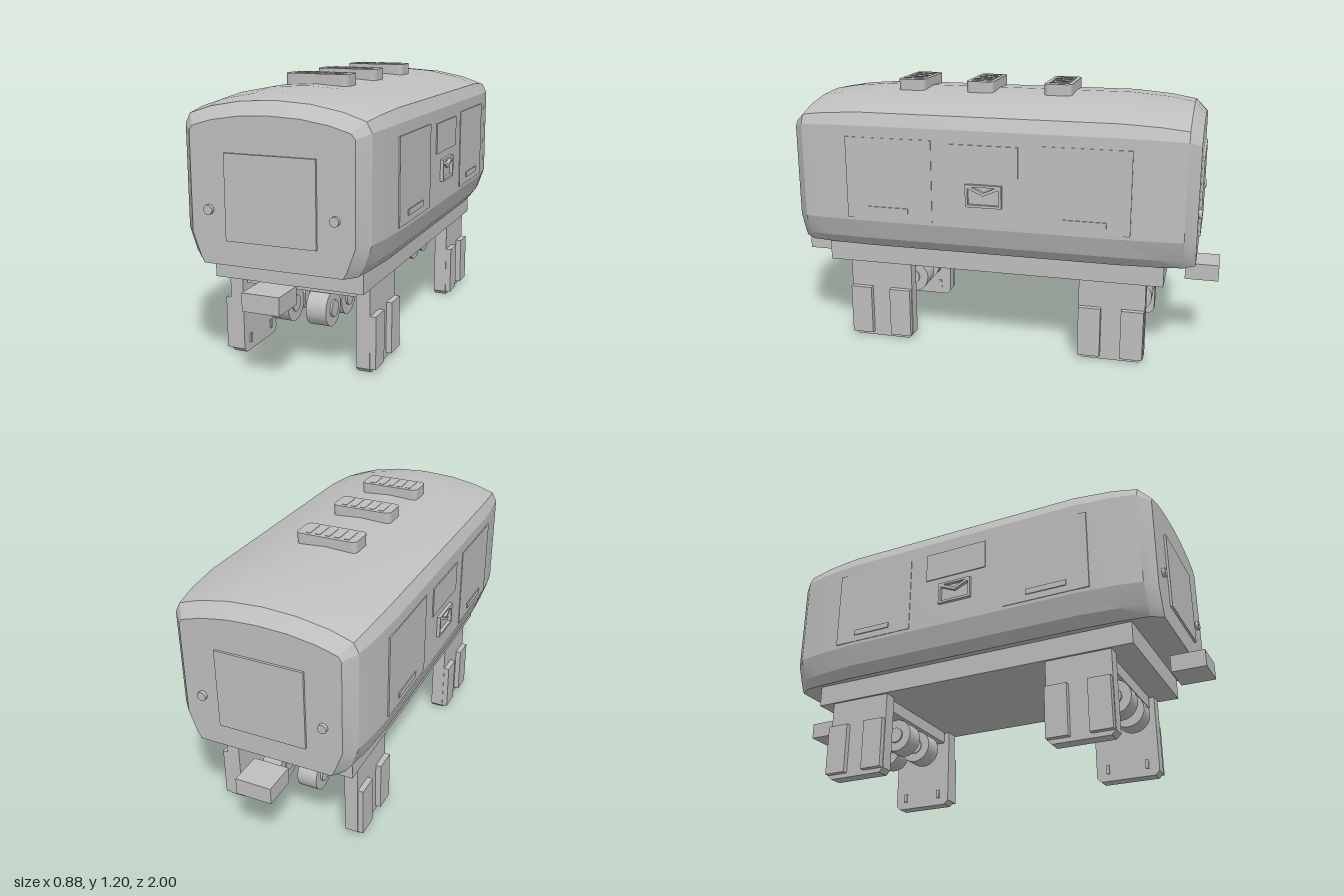
import * as THREE from 'three';
import { toCreasedNormals } from 'three/addons/utils/BufferGeometryUtils.js';

const grey = new THREE.MeshStandardMaterial({ color: 0xbfbfbf });
grey.name = 'light grey';

export function createModel() {
  const model = new THREE.Group();
  model.name = 'railCarPod';

  const add = (name, geo, x = 0, y = 0, z = 0, parent = model) => {
    const m = new THREE.Mesh(geo, grey);
    m.name = name;
    m.position.set(x, y, z);
    parent.add(m);
    return m;
  };
  // box given by its limits
  const box = (name, x0, x1, y0, y1, z0, z1, parent = model) =>
    add(name, new THREE.BoxGeometry(Math.abs(x1 - x0), y1 - y0, Math.abs(z1 - z0)),
      (x0 + x1) / 2, (y0 + y1) / 2, (z0 + z1) / 2, parent);
  const extrude = (shape, depth) =>
    new THREE.ExtrudeGeometry(shape, { depth, bevelEnabled: false, curveSegments: 4 });
  const polygon = (pts, Type = THREE.Shape) => new Type(pts.map((p) => new THREE.Vector2(...p)));

  // Body shell: cross-section shrinking towards both ends
  const full = [[0.36, 0.465], [0.395, 0.51], [0.425, 0.6], [0.425, 1.03], [0.4, 1.085], [0.3, 1.12], [0.16, 1.147], [0, 1.157]];
  const end = [[0.3, 0.468], [0.315, 0.495], [0.35, 0.59], [0.35, 1.0], [0.335, 1.02], [0.25, 1.045], [0.13, 1.064], [0, 1.07]];
  const stations = [[0.9, 0], [0.85, 0.62], [0.74, 0.84], [0.57, 1], [-0.57, 1], [-0.74, 0.84], [-0.85, 0.62], [-0.9, 0]];
  const pos = [], idx = [];
  const n = full.length * 2 - 1;
  for (const [z, t] of stations) {
    const half = full.map((f, i) => [0, 1].map((k) => end[i][k] + (f[k] - end[i][k]) * t));
    const ring = [...half, ...half.slice(0, -1).reverse().map(([x, y]) => [-x, y])];
    for (const [x, y] of ring) pos.push(x, y, z);
  }
  for (let k = 0; k < stations.length - 1; k++) {
    for (let i = 0; i < n; i++) {
      const a = k * n + i, b = k * n + (i + 1) % n;
      idx.push(a, a + n, b, b, a + n, b + n);
    }
  }
  const last = (stations.length - 1) * n;
  for (let i = 1; i < n - 1; i++) idx.push(0, i, i + 1, last, last + i + 1, last + i);
  const shell = new THREE.BufferGeometry();
  shell.setAttribute('position', new THREE.Float32BufferAttribute(pos, 3));
  shell.setIndex(idx);
  add('body', toCreasedNormals(shell, 0.3));

  // Chassis
  box('chassis', -0.33, 0.33, 0.37, 0.467, -0.77, 0.77);

  // Roof vents with rounded corners and slats
  const w = 0.14, d = 0.0625, r = 0.025;
  const ventShape = new THREE.Shape();
  ventShape.absarc(w - r, d - r, r, 0, Math.PI / 2);
  ventShape.absarc(-w + r, d - r, r, Math.PI / 2, Math.PI);
  ventShape.absarc(-w + r, -d + r, r, Math.PI, Math.PI * 1.5);
  ventShape.absarc(w - r, -d + r, r, Math.PI * 1.5, Math.PI * 2);
  const ventGeo = extrude(ventShape, 0.068).rotateX(-Math.PI / 2);
  for (const z of [0.42, 0.097, -0.26]) {
    add('roofVent', ventGeo, 0, 1.13, z);
    for (let i = -2; i <= 2; i++) {
      box('ventSlat', i * 0.045 - 0.012, i * 0.045 + 0.012, 1.198, 1.2, z - 0.045, z + 0.045);
    }
  }

  // End details, the same at front and back
  const doorGeo = extrude(polygon([[-0.14, 0], [0.14, 0], [0.125, 0.027], [-0.125, 0.027]]), 0.28)
    .rotateX(Math.PI / 2).scale(1, 1, 1);
  for (const s of [1, -1]) {
    const g = new THREE.Group();
    g.name = s > 0 ? 'frontEnd' : 'backEnd';
    g.rotation.y = s > 0 ? 0 : Math.PI;
    model.add(g);
    box('doorFrame', -0.195, 0.195, 0.57, 0.92, 0.89, 0.91, g);
    const door = add('doorPanel', doorGeo, 0, 0.595, 0.908, g);
    door.rotation.x = Math.PI / 2;
    door.position.y = 0.875;
    // extrusion runs down its own -y, so turn it to stand upright
    door.geometry = extrude(polygon([[-0.14, 0], [0.14, 0], [0.125, -0.027], [-0.125, -0.027]]), 0.28);
    for (const x of [-0.27, 0.27]) {
      add('endLamp', new THREE.CylinderGeometry(0.02, 0.02, 0.03, 16).rotateX(Math.PI / 2), x, 0.69, 0.9, g);
    }
    box('coupler', -0.08, 0.08, 0.325, 0.4, 0.85, 1.0, g);
  }

  // Side details, the same on both sides (local +z faces outwards)
  const emblem = polygon([[-0.08, 0.7], [0.08, 0.7], [0.08, 0.8], [-0.08, 0.8]]);
  emblem.holes.push(
    polygon([[-0.069, 0.711], [-0.069, 0.782], [0, 0.752], [0.069, 0.782], [0.069, 0.711]], THREE.Path),
    polygon([[-0.055, 0.79], [0.055, 0.79], [0, 0.766]], THREE.Path));
  for (const s of [1, -1]) {
    const g = new THREE.Group();
    g.name = s > 0 ? 'leftSide' : 'rightSide';
    g.rotation.y = s * Math.PI / 2;
    model.add(g);
    box('windowPlate', -0.15, 0.15, 0.835, 0.97, 0.423, 0.43, g);
    add('envelopeFrame', extrude(emblem, 0.018), 0, 0, 0.422, g);
    for (const m of [1, -1]) {
      box('sideDoor', m * 0.235, m * 0.63, 0.615, 0.98, 0.422, 0.428, g);
      box('doorHandle', m * 0.345, m * 0.53, 0.645, 0.67, 0.425, 0.433, g);
    }
  }

  // Bogies: cross block, four wheels and two legs each
  const wheelGeo = new THREE.CylinderGeometry(0.077, 0.077, 0.09, 24).rotateZ(Math.PI / 2);
  const hubGeo = new THREE.CylinderGeometry(0.036, 0.036, 0.104, 20).rotateZ(Math.PI / 2);
  const legGeo = extrude(polygon([[-0.147, 0.02], [-0.127, 0], [0.127, 0], [0.147, 0.02], [0.147, 0.38], [-0.147, 0.38]]), 0.06)
    .rotateY(Math.PI / 2);
  for (const zc of [0.527, -0.55]) {
    const g = new THREE.Group();
    g.name = zc > 0 ? 'frontBogie' : 'backBogie';
    g.position.z = zc;
    model.add(g);
    box('crossBlock', -0.25, 0.25, 0.315, 0.372, -0.125, 0.125, g);
    for (const s of [1, -1]) {
      for (const z of [-0.083, 0.083]) {
        add('wheel', wheelGeo, s * 0.086, 0.238, z, g);
        add('wheelHub', hubGeo, s * 0.088, 0.238, z, g);
      }
      add('leg', legGeo, s > 0 ? 0.26 : -0.32, 0, 0, g);
      for (const m of [1, -1]) {
        box('legPlate', s * 0.318, s * 0.345, 0.02, 0.247, m * 0.045, m * 0.144, g);
        box('legBolt', s * 0.253, s * 0.262, 0.035, 0.075, m * 0.085, m * 0.1, g);
      }
    }
  }
  return model;
}
